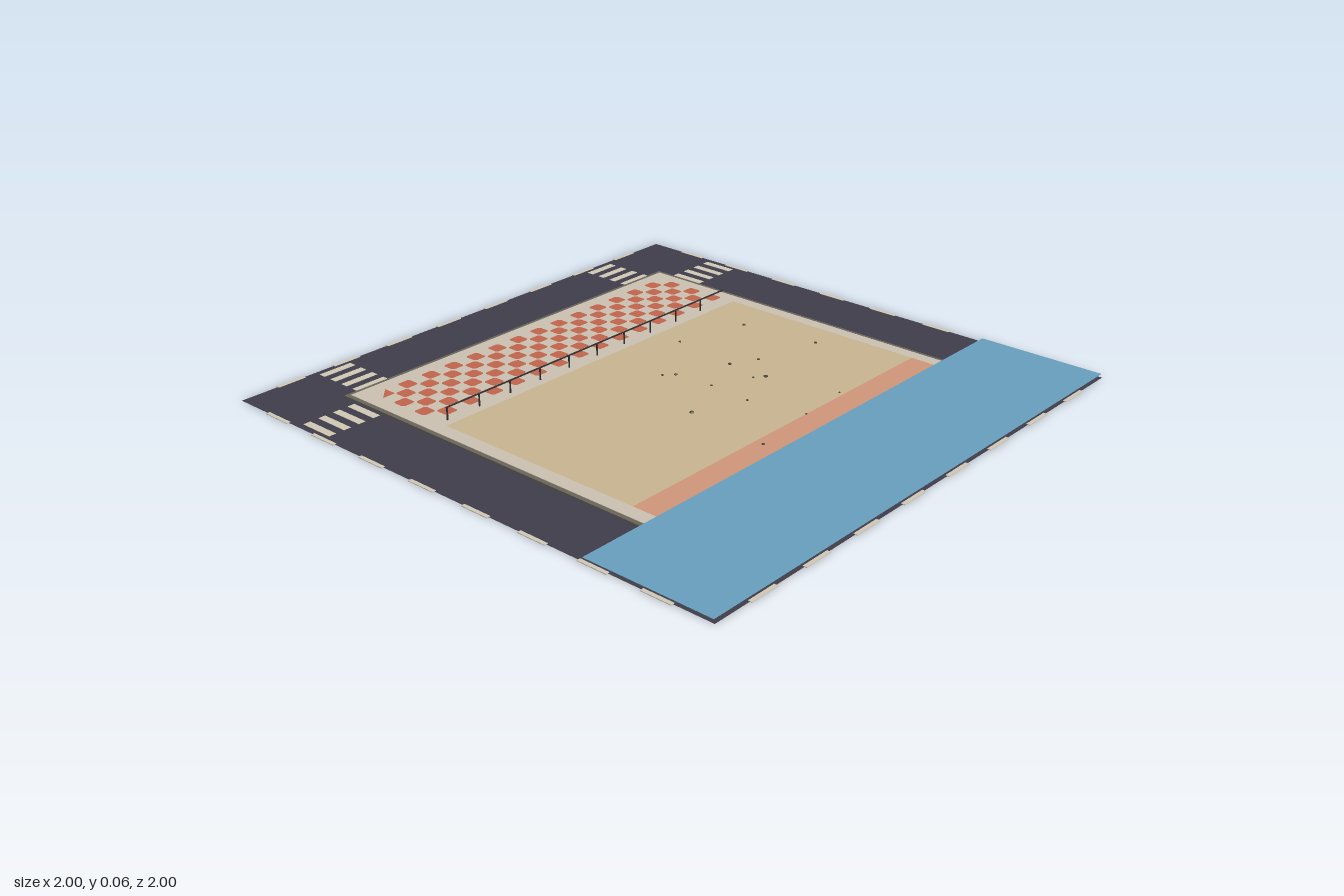
import * as THREE from 'three';

export function createModel() {
  const model = new THREE.Group();
  model.name = 'beachBlock';

  const mat = (name, color, side = THREE.FrontSide) =>
    Object.assign(new THREE.MeshStandardMaterial({ color, side }), { name });
  const asphalt = mat('asphalt', 0x3f3d4a, THREE.DoubleSide);
  const paint = mat('roadPaint', 0xd0c8b6);
  const curbStone = mat('curbStone', 0x69655a);
  const paving = mat('paving', 0xcac1b1);
  const tile = mat('redTile', 0xc1644c);
  const sand = mat('sand', 0xc8b48f);
  const wetSand = mat('shoreline', 0xcf967a);
  const sea = mat('water', 0x679fbd, THREE.DoubleSide);
  const iron = mat('iron', 0x2f3034);
  const rock = mat('pebble', 0x4b4336);
  rock.flatShading = true;

  const group = (name) => {
    const g = new THREE.Group();
    g.name = name;
    model.add(g);
    return g;
  };
  const add = (name, geometry, material, parent = model) => {
    const m = new THREE.Mesh(geometry, material);
    m.name = name;
    parent.add(m);
    return m;
  };
  // box given by its limits on each axis
  const slab = (name, x0, x1, y0, y1, z0, z1, material, parent) => {
    const m = add(name, new THREE.BoxGeometry(x1 - x0, y1 - y0, z1 - z0), material, parent);
    m.position.set((x0 + x1) / 2, (y0 + y1) / 2, (z0 + z1) / 2);
    return m;
  };
  // flat horizontal sheet given by its limits
  const sheet = (name, x0, x1, y, z0, z1, material) => {
    const m = add(name, new THREE.PlaneGeometry(x1 - x0, z1 - z0).rotateX(-Math.PI / 2), material);
    m.position.set((x0 + x1) / 2, y, (z0 + z1) / 2);
  };

  // road sheet
  sheet('road', -0.993, 0.993, 0.001, -0.993, 0.993, asphalt);

  // dashed centre lines along the four outer edges
  const dashes = group('laneDashes');
  for (let i = 0; i < 8; i++) {
    const c = -0.8 + i * 0.2286;
    for (const s of [-1, 1]) {
      const e = s * 0.993;
      slab('dash', c - 0.054, c + 0.054, 0, 0.002, e - 0.007, e + 0.007, paint, dashes);
      slab('dash', e - 0.007, e + 0.007, 0, 0.002, c - 0.054, c + 0.054, paint, dashes);
    }
  }

  // two crosswalks at every corner
  const crosswalks = group('crosswalks');
  for (const sx of [-1, 1]) for (const sz of [-1, 1]) for (let i = 0; i < 4; i++) {
    const across = 0.957 - i * 0.0575;
    const a = slab('stripe', -0.064, 0.064, 0, 0.002, -0.0135, 0.0135, paint, crosswalks);
    a.position.set(sx * 0.638, 0.001, sz * across);
    const b = slab('stripe', -0.0135, 0.0135, 0, 0.002, -0.064, 0.064, paint, crosswalks);
    b.position.set(sx * across, 0.001, sz * 0.638);
  }

  // raised block
  slab('curb', -0.76, 0.757, 0.002, 0.008, -0.765, 0.6, curbStone);
  slab('sidewalk', -0.745, 0.742, 0.002, 0.01, -0.75, 0.6, paving);
  sheet('beach', -0.695, 0.695, 0.011, -0.345, 0.44, sand);
  sheet('shore', -0.695, 0.695, 0.011, 0.44, 0.6, wetSand);
  sheet('water', -0.993, 0.993, 0.0135, 0.532, 0.99, sea);

  // checkered promenade: tiles with clipped corners
  const cell = 0.0497, h = cell / 2, k = 0.007;
  const flat = (pts) => new THREE.ShapeGeometry(
    new THREE.Shape(pts.map(([x, y]) => new THREE.Vector2(x, y)))).rotateX(-Math.PI / 2);
  const clipped = flat([[-h + k, -h], [h - k, -h], [h, -h + k], [h, h - k],
    [h - k, h], [-h + k, h], [-h, h - k], [-h, -h + k]]);
  const half = flat([[-h, -h], [h, -h], [h, h]]);
  const promenade = group('promenadeTiles');
  for (let r = 0; r < 6; r++) for (let c = r % 2; c < 28; c += 2) {
    const t = add('tile', r + c === 0 ? half : clipped, tile, promenade);
    t.position.set(-0.695 + (c + 0.5) * cell, 0.0112, -0.7 + (r + 0.5) * cell);
  }

  // railing between promenade and beach
  const railing = group('railing');
  slab('rail', -0.667, 0.67, 0.052, 0.056, -0.377, -0.373, iron, railing);
  for (let i = 0; i < 10; i++) {
    const x = -0.664 + i * 0.1344;
    slab('post', x - 0.002, x + 0.002, 0.009, 0.054, -0.377, -0.373, iron, railing);
  }

  // pebbles on the sand: x, z, radius
  const pebbles = group('pebbles');
  const spots = [[0.28, -0.24, 5], [0.545, -0.17, 6], [0.03, -0.097, 5], [0.063, -0.067, 6],
    [0.075, 0.077, 5], [0.247, 0.012, 7], [0.34, 0.06, 6], [0.583, 0.118, 6], [-0.123, 0.163, 8],
    [0.214, 0.14, 4], [0.247, 0.166, 8], [0.063, 0.237, 5], [-0.149, 0.472, 6],
    [0.107, 0.44, 4], [0.305, 0.424, 4]];
  const stone = new THREE.DodecahedronGeometry(0.001);
  spots.forEach(([x, z, r], i) => {
    const p = add('pebble', stone, rock, pebbles);
    p.position.set(x, 0.012, z);
    p.scale.set(r, r * 0.6, r);
    p.rotation.y = i * 1.3;
  });

  return model;
}
